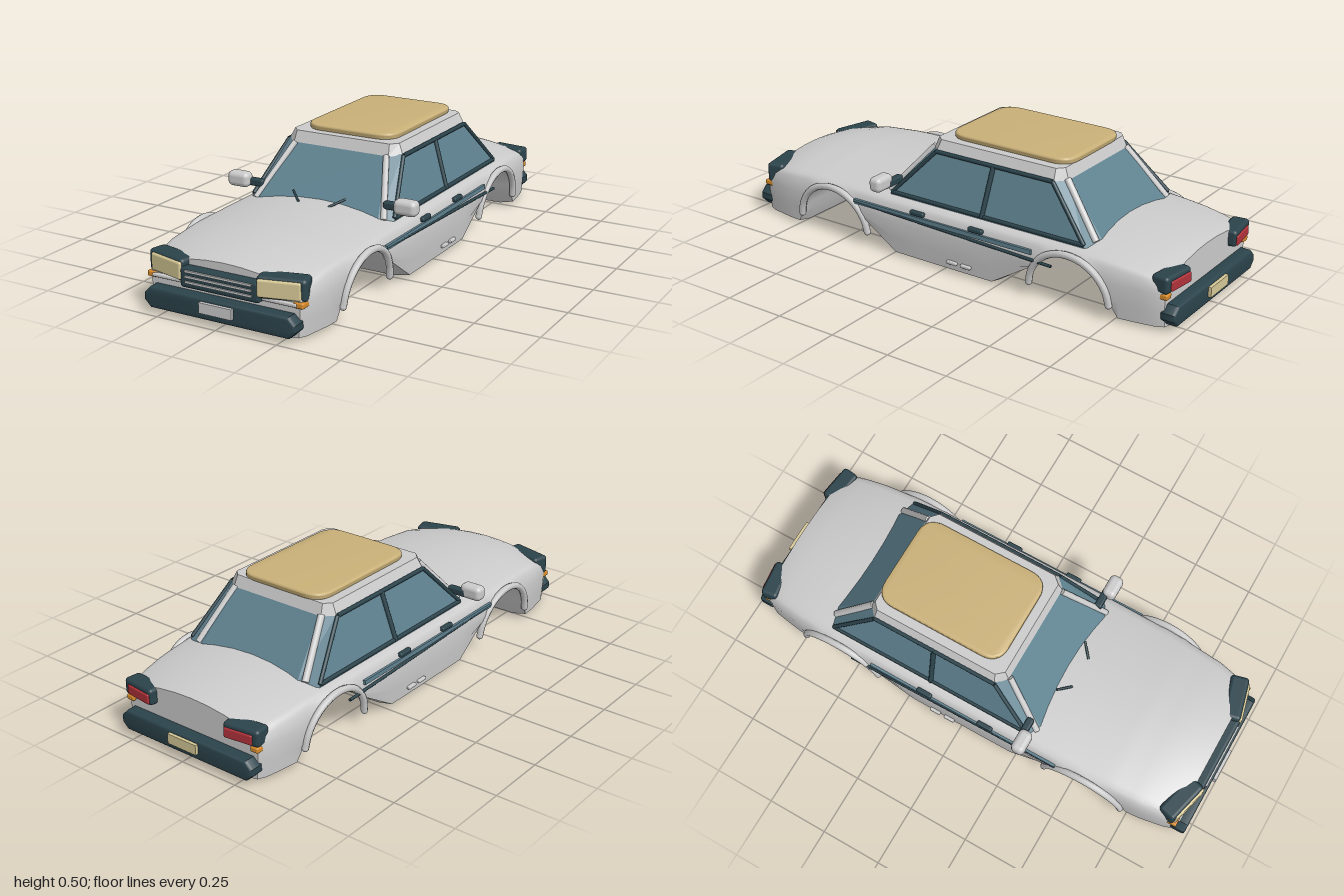
import * as THREE from 'three';
import { toCreasedNormals } from 'three/addons/utils/BufferGeometryUtils.js';
import { RoundedBoxGeometry } from 'three/addons/geometries/RoundedBoxGeometry.js';

const V = (x, y, z) => new THREE.Vector3(x, y, z);
const mat = (name, color) => Object.assign(new THREE.MeshStandardMaterial({ color }), { name });

// Closed skin through rings of points, capped at both ends
function loft(rings, crease) {
  const n = rings[0].length, pos = [], idx = [];
  rings.forEach(r => r.forEach(p => pos.push(p.x, p.y, p.z)));
  for (let i = 0; i < rings.length - 1; i++) {
    for (let j = 0; j < n; j++) {
      const a = i * n + j, b = i * n + (j + 1) % n, c = b + n, d = a + n;
      idx.push(a, d, b, b, d, c);
    }
  }
  const last = (rings.length - 1) * n;
  for (let j = 1; j < n - 1; j++) idx.push(0, j, j + 1, last, last + j + 1, last + j);
  const g = new THREE.BufferGeometry();
  g.setAttribute('position', new THREE.Float32BufferAttribute(pos, 3));
  g.setIndex(idx);
  return toCreasedNormals(g, crease);
}

// Piecewise linear lookup in a list of [z, value], z falling
function lerpTable(t, z) {
  for (let i = 0; i < t.length - 1; i++) {
    const [z0, v0] = t[i], [z1, v1] = t[i + 1];
    if (z <= z0 && z >= z1) return v0 + (v1 - v0) * (z0 - z) / (z0 - z1);
  }
  return t[t.length - 1][1];
}

const WIDTH = [[0.94, 0.31], [0.91, 0.325], [0.8, 0.345], [0.6, 0.358], [0.3, 0.363], [0, 0.365],
  [-0.3, 0.363], [-0.6, 0.36], [-0.8, 0.345], [-0.91, 0.325], [-0.94, 0.31]];
const TOP = [[0.94, 0.233], [0.9, 0.247], [0.8, 0.264], [0.65, 0.274], [0.4, 0.276], [-0.6, 0.276],
  [-0.7, 0.271], [-0.8, 0.262], [-0.9, 0.247], [-0.94, 0.235]];

// Underside line with both wheel arches, as [z, y]
function underside() {
  const arch = (cz, from, to) => Array.from({ length: 13 }, (_, i) => {
    const a = from + (to - from) * i / 12;
    return [cz + 0.17 * Math.cos(a), 0.05 + 0.17 * Math.sin(a)];
  });
  return [[0.94, 0.008], [0.91, 0.004], [0.8, 0.004], [0.75, 0.004], ...arch(0.55, 0.1, 2.62),
    [0.23, 0.004], [0.1, 0.004], [-0.1, 0.004], [-0.23, 0.004], ...arch(-0.565, 0.52, 3.04),
    [-0.77, 0.004], [-0.85, 0.004], [-0.91, 0.004], [-0.94, 0.008]];
}

function bodyGeometry() {
  const rings = underside().map(([z, yb]) => {
    const w = lerpTable(WIDTH, z), yt = lerpTable(TOP, z);
    const half = [[0.8, 0], [0.975, 0.018], [0.99, 0.08], [1, 0.15], [0.975, yt - 0.06], [0.94, yt - 0.045]];
    for (const u of [0.88, 0.7, 0.5, 0.25]) half.push([u, yt - 0.04 * (u / 0.9) ** 2]);
    const right = half.map(([u, y]) => V(u * w, Math.max(y, yb), z));
    const left = right.map(p => V(-p.x, p.y, p.z)).reverse();
    return [...right, V(0, yt, z), ...left];
  });
  return loft(rings, 0.6);
}

// Eight-cornered ring seen from above: front/rear corners and side corners
function cabinRing(y, fx, fz, sx, sf, sr, rx, rz) {
  const right = [V(fx, y, fz), V(sx, y, sf), V(sx, y, sr), V(rx, y, rz)];
  return [...right, ...right.map(p => V(-p.x, p.y, p.z)).reverse()];
}

// Flat plate with cut corners, facing z
function bumperGeometry(w, h, depth) {
  const x = w / 2 - 0.012, y = h / 2 - 0.012, c = 0.02;
  const s = new THREE.Shape([[x, -y + c], [x, y - c], [x - c, y], [-x + c, y], [-x, y - c],
    [-x, -y + c], [-x + c, -y], [x - c, -y]].map(p => new THREE.Vector2(...p)));
  const g = new THREE.ExtrudeGeometry(s, { depth: depth - 0.024, bevelSize: 0.012, bevelThickness: 0.012, bevelSegments: 3 });
  return toCreasedNormals(g.center(), 0.6);
}

export function createModel() {
  const car = new THREE.Group();
  car.name = 'car';
  const paint = mat('paint', 0xcbcbcb), glass = mat('glass', 0x5f8290), dark = mat('darkTrim', 0x2b434b);
  const tan = mat('tanRoof', 0xc9b078), cream = mat('cream', 0xd6c896);
  const red = mat('red', 0xb0323a), orange = mat('orange', 0xd98c2b);

  const add = (name, g, m, x = 0, y = 0, z = 0, ry = 0) => {
    const o = new THREE.Mesh(g, m);
    o.name = name;
    o.position.set(x, y, z);
    o.rotation.y = ry;
    car.add(o);
    return o;
  };
  const box = (name, m, w, h, d, x, y, z, ry = 0) => add(name, new THREE.BoxGeometry(w, h, d), m, x, y, z, ry);
  const soft = (name, m, w, h, d, r, x, y, z, ry = 0) =>
    add(name, new RoundedBoxGeometry(w, h, d, 3, r), m, x, y, z, ry);
  const rod = (name, m, a, b, r) => {
    const o = add(name, new THREE.CylinderGeometry(r, r, a.distanceTo(b), 10), m);
    o.position.copy(a).add(b).multiplyScalar(0.5);
    o.quaternion.setFromUnitVectors(V(0, 1, 0), b.clone().sub(a).normalize());
  };

  // Shell and cabin
  add('body', bodyGeometry(), paint);
  add('cabinGlass', loft([cabinRing(0.445, 0.2, 0.13, 0.25, 0.1, -0.43, 0.2, -0.465),
    cabinRing(0.24, 0.265, 0.32, 0.315, 0.28, -0.61, 0.235, -0.645)], 0.1), glass);
  add('roof', loft([cabinRing(0.482, 0.205, 0.12, 0.232, 0.09, -0.43, 0.205, -0.455),
    cabinRing(0.438, 0.21, 0.137, 0.253, 0.1, -0.435, 0.21, -0.472)], 0.1), paint);

  // Padded roof panel
  const s = new THREE.Shape(), px = 0.187, pz = 0.264, r = 0.07;
  s.moveTo(px, -pz + r);
  s.lineTo(px, pz - r);
  s.quadraticCurveTo(px, pz, px - r, pz);
  s.lineTo(-px + r, pz);
  s.quadraticCurveTo(-px, pz, -px, pz - r);
  s.lineTo(-px, -pz + r);
  s.quadraticCurveTo(-px, -pz, -px + r, -pz);
  s.lineTo(px - r, -pz);
  s.quadraticCurveTo(px, -pz, px, -pz + r);
  const panel = new THREE.ExtrudeGeometry(s, { depth: 0.008, bevelSize: 0.009, bevelThickness: 0.009, bevelSegments: 4, curveSegments: 8 });
  panel.rotateX(-Math.PI / 2);
  add('roofPanel', toCreasedNormals(panel, 0.7), tan, 0, 0.488, -0.188);

  for (const k of [1, -1]) {
    // Pillars and side window frames
    rod('frontPillar', paint, V(k * 0.202, 0.44, 0.14), V(k * 0.282, 0.245, 0.305), 0.012);
    rod('rearPillar', paint, V(k * 0.207, 0.44, -0.465), V(k * 0.26, 0.25, -0.625), 0.014);
    const frame = [V(k * 0.255, 0.438, 0.1), V(k * 0.312, 0.25, 0.275), V(k * 0.312, 0.25, -0.605), V(k * 0.255, 0.438, -0.432)];
    frame.forEach((p, i) => rod('windowFrame', dark, p, frame[(i + 1) % 4], 0.008));
    rod('doorPillar', dark, V(k * 0.253, 0.44, -0.168), V(k * 0.314, 0.245, -0.155), 0.01);

    // Wheel arch lips
    for (const z of [0.55, -0.565]) {
      const pts = Array.from({ length: 13 }, (_, i) => {
        const a = 0.08 + (Math.PI - 0.16) * i / 12;
        return V(k * (0.348 + 0.015 * Math.sin(a)), 0.05 + 0.17 * Math.sin(a), z + 0.172 * Math.cos(a));
      });
      add('archLip', new THREE.TubeGeometry(new THREE.CatmullRomCurve3(pts), 32, 0.014, 8), paint);
      for (const p of [pts[0], pts[12]]) add('archLipEnd', new THREE.SphereGeometry(0.014, 10, 8), paint, p.x, p.y, p.z);
    }

    // Side stripes, handles and vents
    box('sideStripe', glass, 0.012, 0.018, 0.84, k * 0.36, 0.19, 0.01);
    rod('sideMoulding', dark, V(k * 0.361, 0.19, 0.43), V(k * 0.364, 0.158, -0.5), 0.006);
    for (const z of [0.115, -0.16]) soft('doorHandle', dark, 0.02, 0.018, 0.066, 0.006, k * 0.36, 0.212, z);
    for (const z of [-0.05, -0.115]) soft('sideVent', paint, 0.02, 0.013, 0.046, 0.004, k * 0.361, 0.05, z);

    // Mirrors and wipers
    soft('mirrorArm', dark, 0.08, 0.03, 0.03, 0.008, k * 0.305, 0.295, 0.27);
    soft('mirror', paint, 0.094, 0.06, 0.056, 0.02, k * 0.367, 0.304, 0.285);
    rod('wiper', dark, V(k * 0.115, 0.298, 0.298), V(k * 0.065, 0.272, 0.342), 0.005);

    // Front lights
    soft('headlightHousing', dark, 0.182, 0.083, 0.075, 0.015, k * 0.232, 0.185, 0.915, k * 0.25);
    soft('headlight', cream, 0.158, 0.066, 0.03, 0.008, k * 0.232, 0.184, 0.946, k * 0.25);
    soft('frontIndicator', orange, 0.04, 0.022, 0.045, 0.006, k * 0.305, 0.138, 0.925);

    // Rear lights
    soft('tailLightHousing', dark, 0.15, 0.066, 0.07, 0.014, k * 0.245, 0.185, -0.928, -k * 0.12);
    soft('tailLight', red, 0.118, 0.04, 0.02, 0.006, k * 0.24, 0.18, -0.96, -k * 0.12);
    soft('rearIndicator', orange, 0.035, 0.022, 0.035, 0.006, k * 0.3, 0.14, -0.935);
  }

  // Grille and chrome strip
  soft('grille', dark, 0.33, 0.078, 0.06, 0.014, 0, 0.163, 0.945);
  for (const y of [0.15, 0.17, 0.19]) box('grilleBar', paint, 0.276, 0.008, 0.009, 0, y, 0.976);
  soft('noseStrip', paint, 0.6, 0.014, 0.03, 0.005, 0, 0.138, 0.938);

  // Bumpers and blank plates
  for (const [end, k, plate] of [['front', 1, paint], ['rear', -1, cream]]) {
    add(end + 'Bumper', bumperGeometry(0.63, 0.08, 0.065), dark, 0, 0.066, k * 0.955);
    box(end + 'Plate', plate, 0.136, 0.04, 0.016, 0, 0.075, k * 0.992);
  }
  return car;
}
